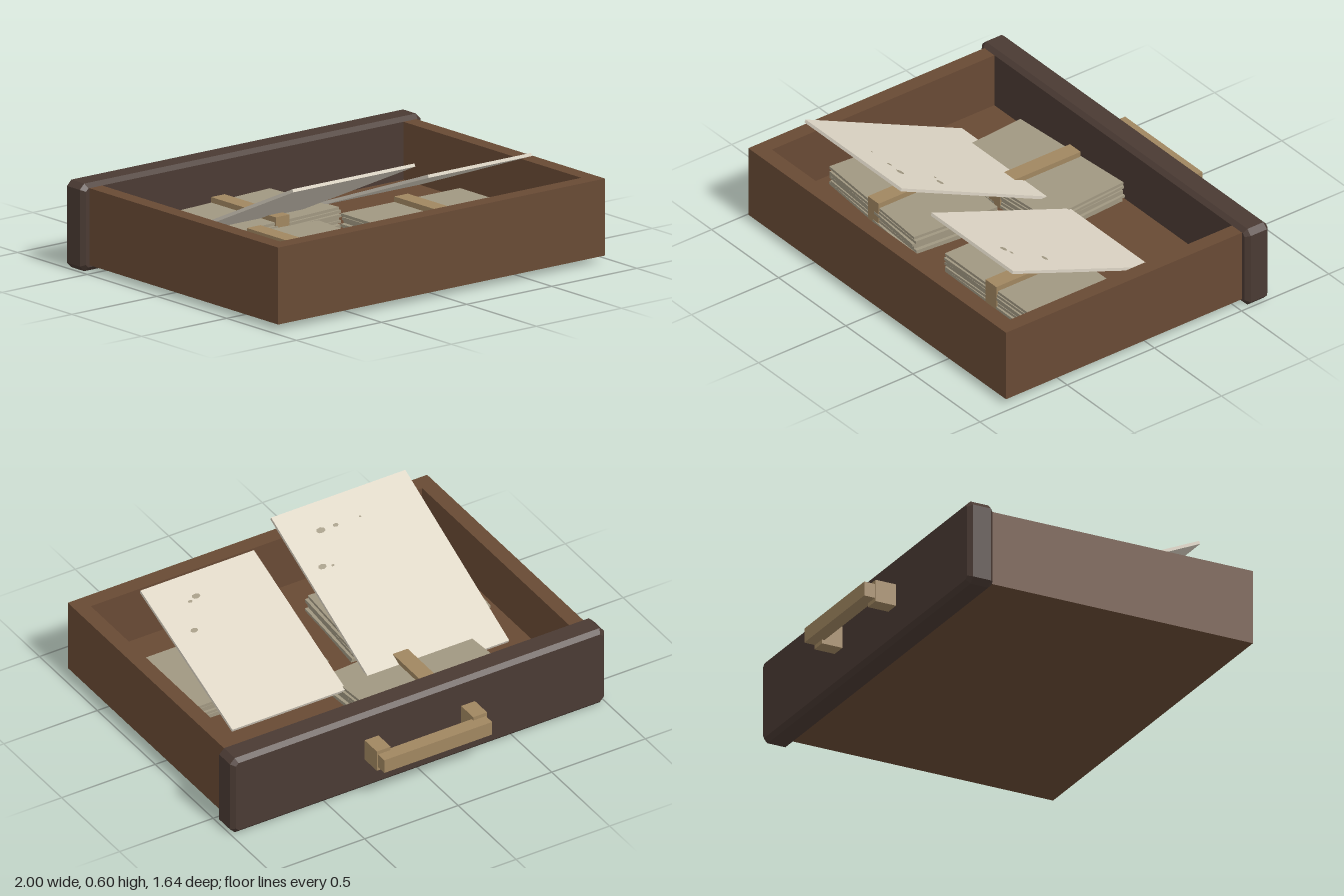
import * as THREE from 'three';

const mat = (name, color, side = THREE.FrontSide) => {
  const m = new THREE.MeshStandardMaterial({ color, side });
  m.name = name;
  return m;
};

export function createModel() {
  const model = new THREE.Group();
  model.name = 'drawer';
  const wood = mat('brown wood', 0x684a34);
  const darkWood = mat('dark wood', 0x4a3a33);
  const tan = mat('tan', 0xa08660);
  const oldPaper = mat('aged paper', 0xa09781);
  const paper = mat('pale paper', 0xdcd4c4);

  const add = (name, geo, material, x, y, z, parent = model) => {
    const m = new THREE.Mesh(geo, material);
    m.name = name;
    m.position.set(x, y, z);
    parent.add(m);
    return m;
  };
  // Box given by its minimum and maximum corners
  const box = (name, material, [x0, y0, z0], [x1, y1, z1], parent = model) =>
    add(name, new THREE.BoxGeometry(x1 - x0, y1 - y0, z1 - z0), material,
      (x0 + x1) / 2, (y0 + y1) / 2, (z0 + z1) / 2, parent);

  // Tray: floor and three walls, closed by the face panel at -z
  const floorY = 0.12;
  box('trayFloor', wood, [-0.885, 0.03, -0.54], [0.885, floorY, 0.742]);
  box('endWall', wood, [-0.96, 0.03, 0.742], [0.96, 0.392, 0.82]);
  for (const s of [-1, 1]) {
    box('sideWall', wood, [Math.min(s * 0.885, s * 0.96), 0.03, -0.54],
      [Math.max(s * 0.885, s * 0.96), 0.392, 0.742]);
  }

  // Face panel with chamfered edges and clipped corners
  const bevel = 0.02, w = 1 - bevel, h = 0.206 - bevel, c = 0.014;
  const outline = new THREE.Shape([
    [-w + c, -h], [w - c, -h], [w, -h + c], [w, h - c],
    [w - c, h], [-w + c, h], [-w, h - c], [-w, -h + c],
  ].map(([x, y]) => new THREE.Vector2(x, y)));
  const panel = new THREE.ExtrudeGeometry(outline, {
    depth: 0.132 - 2 * bevel, bevelEnabled: true, bevelSegments: 1,
    bevelSize: bevel, bevelThickness: bevel,
  });
  add('facePanel', panel, darkWood, 0, 0.206, -0.665 + bevel);

  // Pull handle
  for (const x of [-0.26, 0.255]) {
    box('handlePost', tan, [x - 0.037, 0.163, -0.77], [x + 0.037, 0.27, -0.66]);
  }
  box('handleBar', tan, [-0.29, 0.182, -0.825], [0.286, 0.252, -0.757]);

  // Bundles of sheets, each tied with a flat band
  const stack = (x, z, turn) => {
    const g = new THREE.Group();
    g.name = 'paperBundle';
    g.position.set(x, floorY, z);
    const n = 6, step = 0.098 / n;
    for (let i = 0; i < n; i++) {
      const sheet = add('bundleSheet', new THREE.BoxGeometry(0.7, step - 0.003, 0.455), oldPaper,
        0.007 * Math.sin(i * 2.3 + x), step * (i + 0.5), 0.004 * Math.cos(i * 1.9), g);
      sheet.rotation.y = turn + 0.015 * Math.sin((n - 1 - i) * 2.1);
    }
    box('bundleBand', tan, [-0.04, 0, -0.232], [0.04, 0.122, 0.232], g);
    model.add(g);
  };
  stack(-0.235, -0.265, 0.075);
  stack(-0.455, 0.26, -0.075);
  stack(0.415, 0.255, 0);

  // Loose sheets leaning on the end wall, with small stains on top
  const leaning = (name, x, y, z, width, length, tilt, stains) => {
    const g = new THREE.Group();
    g.name = name;
    g.position.set(x, y, z);
    g.rotation.x = -tilt;
    add('sheet', new THREE.BoxGeometry(width, 0.015, length), paper, 0, 0, 0, g);
    for (const [sx, sz, r] of stains) {
      const spot = add('stain', new THREE.CircleGeometry(r, 7), oldPaper,
        sx - x, 0.0085, (sz - z) / Math.cos(tilt), g);
      spot.rotation.x = -Math.PI / 2;
      spot.scale.y = 0.65;
    }
    model.add(g);
  };
  leaning('largeLeaningSheet', -0.385, 0.385, 0.2125, 0.717, 0.987, 0.428,
    [[-0.12, 0.37, 0.022], [-0.17, 0.36, 0.009], [-0.29, 0.53, 0.015], [-0.21, 0.53, 0.024], [-0.42, 0.53, 0.007]]);
  leaning('smallLeaningSheet', 0.411, 0.351, 0.195, 0.607, 0.849, 0.358,
    [[0.595, 0.32, 0.02], [0.49, 0.475, 0.022], [0.53, 0.46, 0.012]]);

  return model;
}
